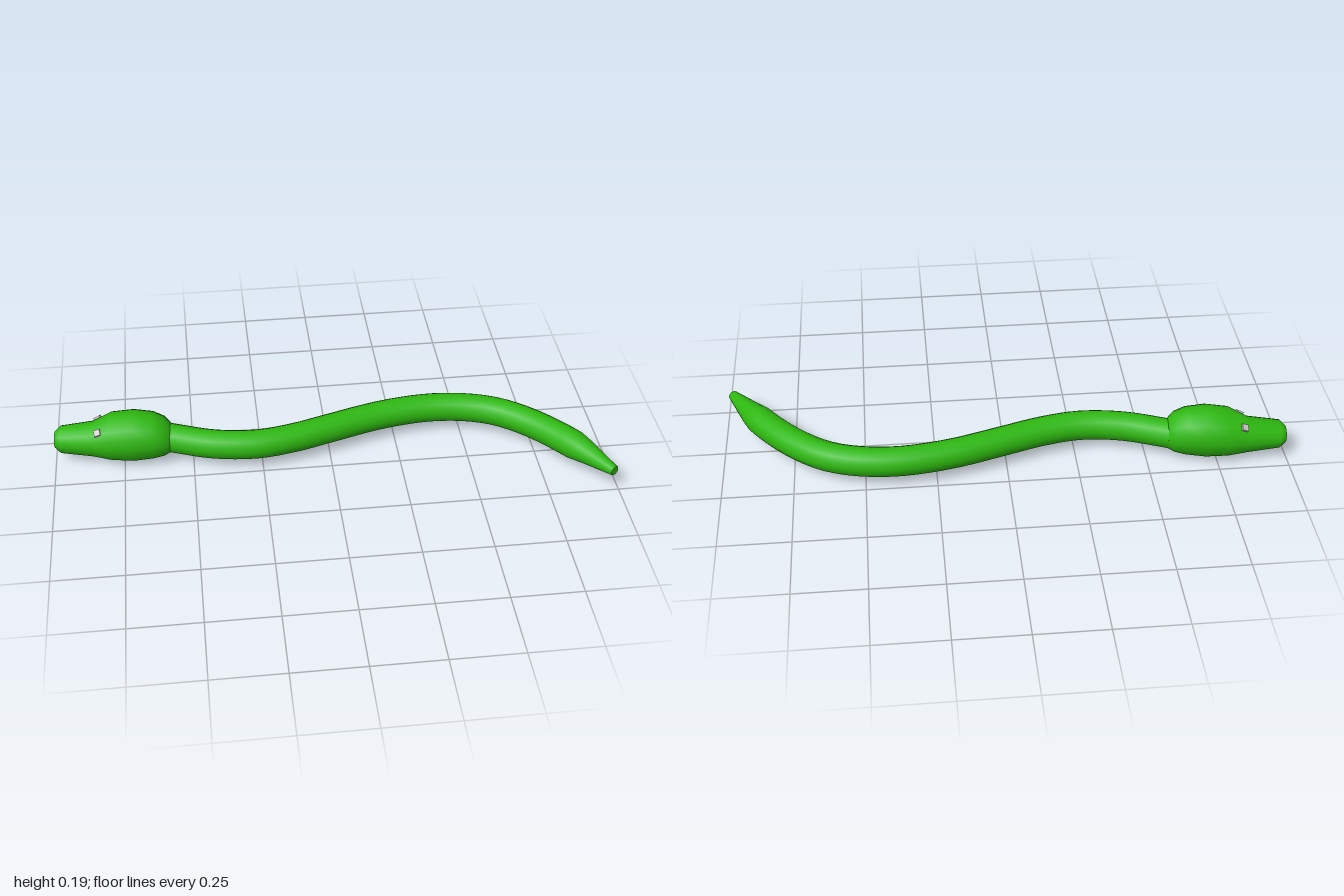
import * as THREE from 'three';

const SIDES = 16;
const UP = new THREE.Vector3(0, 1, 0);

// Skin a closed-ended surface over elliptical rings { c, t, w, h }:
// centre, direction, half width and half height.
function loft(rings) {
  const first = rings[0], last = rings[rings.length - 1];
  // Doubled end rings keep the flat caps crisp.
  const all = [{ ...first, w: 0, h: 0 }, first, first, ...rings.slice(1), last, { ...last, w: 0, h: 0 }];
  const pos = [], index = [];
  all.forEach(({ c, t, w, h }, i) => {
    const side = new THREE.Vector3().crossVectors(t, UP).normalize();
    for (let j = 0; j < SIDES; j++) {
      const a = (j / SIDES) * Math.PI * 2;
      const p = c.clone().addScaledVector(side, Math.cos(a) * w).addScaledVector(UP, Math.sin(a) * h);
      pos.push(p.x, p.y, p.z);
      if (i === all.length - 1 || i === 1 || i === all.length - 3) continue;
      const p0 = i * SIDES + j, p1 = i * SIDES + ((j + 1) % SIDES);
      index.push(p0, p0 + SIDES, p1, p1, p0 + SIDES, p1 + SIDES);
    }
  });
  const g = new THREE.BufferGeometry();
  g.setAttribute('position', new THREE.Float32BufferAttribute(pos, 3));
  g.setIndex(index);
  g.computeVertexNormals();
  return g;
}

export function createModel() {
  const group = new THREE.Group();
  const green = new THREE.MeshStandardMaterial({ color: 0x2eb810 });
  const grey = new THREE.MeshStandardMaterial({ color: 0xcccccc });
  const add = (name, geometry, material) => {
    const mesh = new THREE.Mesh(geometry, material);
    mesh.name = name;
    group.add(mesh);
    return mesh;
  };

  // Winding body, tapering over the tail
  const path = new THREE.CatmullRomCurve3([
    [-0.64, -0.155], [-0.56, -0.122], [-0.42, -0.072], [-0.27, -0.055], [-0.13, -0.078],
    [0, -0.118], [0.2, -0.178], [0.38, -0.203], [0.52, -0.19], [0.63, -0.152],
    [0.727, -0.083], [0.81, 0.002], [0.88, 0.092], [0.978, 0.245],
  ].map(([x, z]) => new THREE.Vector3(x, 0.082, z)));
  const body = [];
  const steps = 48;
  for (let i = 0; i <= steps; i++) {
    const c = path.getPointAt(i / steps);
    const taper = c.x > 0.8 ? THREE.MathUtils.clamp((c.z - 0.08) / 0.165, 0, 1) : 0;
    const r = THREE.MathUtils.lerp(0.053, 0.018, taper);
    body.push({ c, t: path.getTangentAt(i / steps), w: r, h: r });
  }
  add('body', loft(body), green);

  // Head: x, top, bottom, half width, centre z
  const axis = new THREE.Vector3(1, 0, 0.08).normalize();
  const head = [
    [-0.997, 0.108, 0.052, 0.032, -0.168],
    [-0.975, 0.13, 0.032, 0.053, -0.166],
    [-0.86, 0.145, 0.016, 0.067, -0.158],
    [-0.79, 0.182, 0.005, 0.09, -0.15],
    [-0.71, 0.192, 0, 0.094, -0.142],
    [-0.64, 0.183, 0.008, 0.086, -0.136],
    [-0.6, 0.163, 0.018, 0.074, -0.132],
    [-0.577, 0.136, 0.03, 0.055, -0.13],
  ].map(([x, top, bottom, w, z]) => ({
    c: new THREE.Vector3(x, (top + bottom) / 2, z), t: axis, w, h: (top - bottom) / 2,
  }));
  add('head', loft(head), green);

  // Small square eyes set into the brow slope
  for (const s of [1, -1]) {
    const eye = add(s > 0 ? 'leftEye' : 'rightEye', new THREE.BoxGeometry(0.024, 0.01, 0.024), grey);
    eye.position.set(-0.838, 0.141, -0.154 + s * 0.047);
    const normal = new THREE.Vector3(-0.45, 0.8, s * 0.55).normalize();
    eye.quaternion.setFromUnitVectors(UP, normal);
  }
  return group;
}
